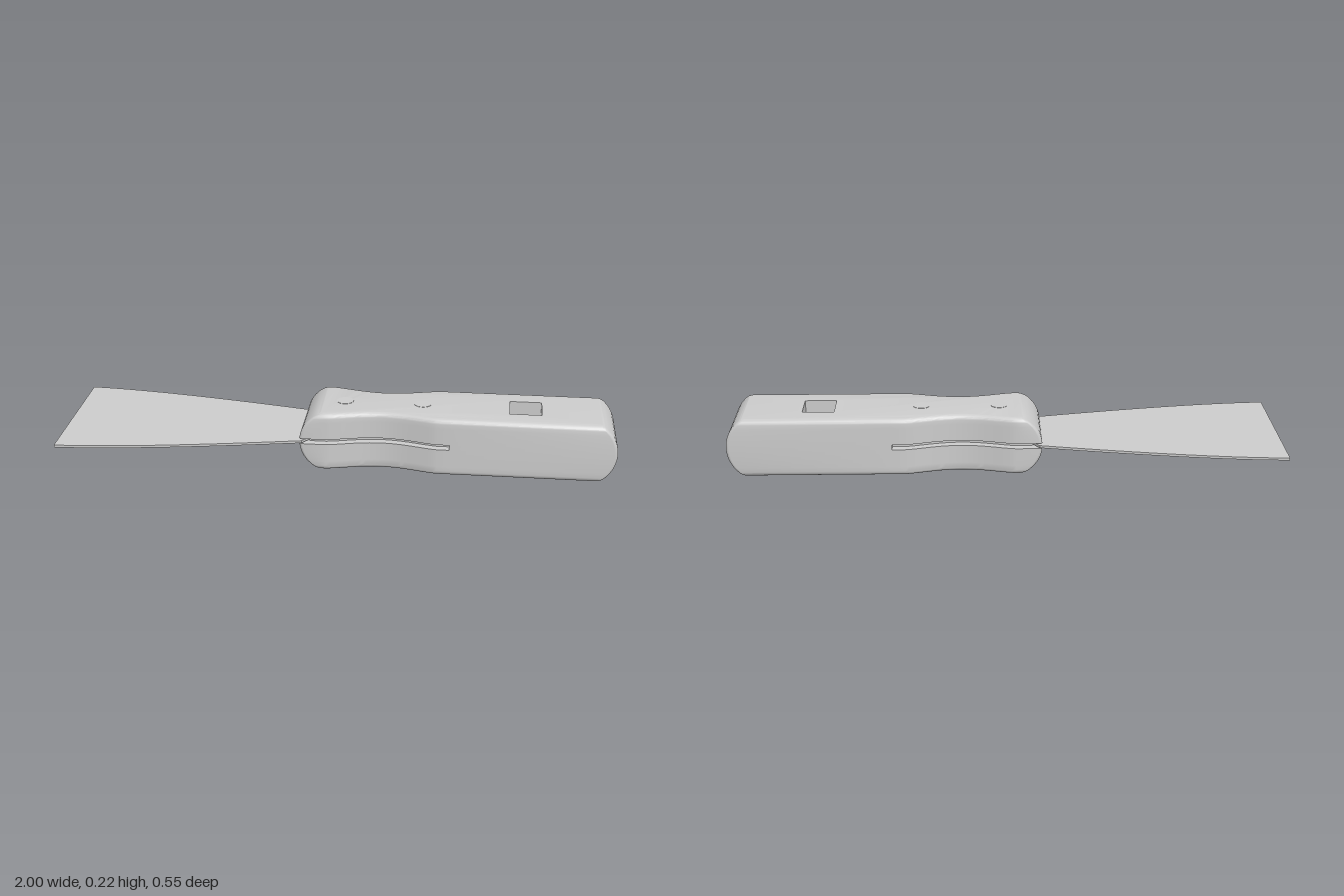
import * as THREE from 'three';
import { mergeGeometries, toCreasedNormals } from 'three/addons/utils/BufferGeometryUtils.js';

const H = 0.217, MID = H / 2;            // handle thickness
const X0 = -0.135, X1 = 1;               // handle ends
const SLOT = { lo: 0.101, hi: 0.12, end: 0.405, depth: 0.03 };
const HOLE = { x: 0.672, half: 0.0575 };
const EDGE = 0.018, CORNER = 0.012;      // fillet radii

// half width of the handle, with the finger waist
function halfWidth(x) {
  const t = (x + 0.04) / 0.4;
  return t <= 0 || t >= 1 ? 0.14 : 0.14 - 0.037 * Math.pow(Math.sin(Math.PI * t), 1.3);
}

// how far an end arc of the given radius is set back at height y
const arcInset = (y, r) => r - Math.sqrt(r * r - (y - MID) ** 2);

// closed handle outline at one level, counterclockwise seen from above
function outline({ y, inset, slot }) {
  const side = [];
  const add = (x, z, inSlot) => side.push([x, z - inset - (inSlot ? SLOT.depth : 0)]);
  const corner = (k) => {
    const t = (k / 4) * Math.PI / 2;
    return [CORNER * (1 - Math.cos(t)), CORNER * (1 - Math.sin(t))];
  };
  const left = X0 + arcInset(y, 0.115) + (slot ? SLOT.depth : 0);
  const right = X1 - arcInset(y, 0.128);
  for (let k = 0; k <= 4; k++) {
    const [dx, dz] = corner(k);
    add(left + dx, 0.14 - dz, slot);
  }
  for (let k = 0; k <= 28; k++) {
    const x = -0.04 + 0.4 * k / 28;
    add(x, halfWidth(x), slot);
  }
  add(SLOT.end, 0.14, slot);
  add(SLOT.end + 0.0005, 0.14, false);
  for (let k = 4; k >= 0; k--) {
    const [dx, dz] = corner(k);
    add(right - dx, 0.14 - dz, false);
  }
  return [...side, ...side.slice().reverse().map(([x, z]) => [x, -z])];
}

function handleGeometry() {
  // levels from bottom to top: fillet, wall, slot, wall, fillet
  const levels = [], top = [];
  for (let k = 0; k <= 5; k++) {
    const t = (k / 5) * Math.PI / 2;
    const y = EDGE * (1 - Math.cos(t)), inset = EDGE * (1 - Math.sin(t));
    levels.push({ y, inset });
    top.unshift({ y: H - y, inset });
  }
  for (let k = 1; k <= 5; k++) {
    const f = k / 5;
    levels.push({ y: EDGE + (SLOT.lo - EDGE) * f, inset: 0 });
    top.unshift({ y: H - EDGE + (SLOT.hi - H + EDGE) * f, inset: 0 });
  }
  levels.push({ y: SLOT.lo, inset: 0, slot: true }, { y: SLOT.hi, inset: 0, slot: true }, ...top);

  const rings = levels.map(outline), n = rings[0].length;
  const pos = [], idx = [];
  rings.forEach((ring, j) => ring.forEach(([x, z]) => pos.push(x, levels[j].y, z)));
  for (let j = 0; j < rings.length - 1; j++) {
    for (let i = 0; i < n; i++) {
      const a = j * n + i, b = j * n + (i + 1) % n;
      idx.push(a, b, b + n, a, b + n, a + n);
    }
  }
  const wall = new THREE.BufferGeometry();
  wall.setAttribute('position', new THREE.Float32BufferAttribute(pos, 3));
  wall.setIndex(idx);

  // flat faces pierced by the square hole
  const face = new THREE.Shape(rings[0].map(([x, z]) => new THREE.Vector2(x, z)));
  const { x, half } = HOLE;
  face.holes.push(new THREE.Path([[-1, -1], [-1, 1], [1, 1], [1, -1]]
    .map(([u, v]) => new THREE.Vector2(x + u * half, v * half))));
  const cap = (angle, y) => new THREE.ShapeGeometry(face).rotateX(angle).translate(0, y, 0);
  const parts = [wall, cap(-Math.PI / 2, H), cap(Math.PI / 2, 0)].map((g) => {
    const flat = g.toNonIndexed();
    flat.deleteAttribute('uv');
    flat.deleteAttribute('normal');
    return flat;
  });
  return toCreasedNormals(mergeGeometries(parts), 0.6);
}

// thin flared blade with a tang running into the handle
function bladeGeometry() {
  const s = new THREE.Shape();
  s.moveTo(-1, -0.275);
  s.quadraticCurveTo(-0.72, -0.268, -0.125, -0.142);
  s.lineTo(-0.09, -0.09);
  s.lineTo(0.16, -0.06);
  s.lineTo(0.4, -0.06);
  s.lineTo(0.4, 0.06);
  s.lineTo(0.16, 0.06);
  s.lineTo(-0.09, 0.09);
  s.lineTo(-0.125, 0.142);
  s.quadraticCurveTo(-0.72, 0.268, -1, 0.275);
  const g = new THREE.ExtrudeGeometry(s, { depth: 0.009, bevelEnabled: false, curveSegments: 20 });
  return g.rotateX(-Math.PI / 2).translate(0, 0.1045, 0);
}

export function createModel() {
  const group = new THREE.Group();
  const material = new THREE.MeshStandardMaterial({ color: 0xcccccc });
  const add = (name, geometry, mat = material) => {
    const mesh = new THREE.Mesh(geometry, mat);
    mesh.name = name;
    group.add(mesh);
    return mesh;
  };

  add('handle', handleGeometry());
  add('blade', bladeGeometry());

  // walls of the hanging hole
  const holeMaterial = new THREE.MeshStandardMaterial({ color: 0xcccccc, flatShading: true, side: THREE.DoubleSide });
  const r = HOLE.half * Math.SQRT2;
  add('hangingHole', new THREE.CylinderGeometry(r, r, H, 4, 1, true, Math.PI / 4), holeMaterial)
    .position.set(HOLE.x, MID, 0);

  // rivets through both faces
  for (const x of [0.018, 0.301]) {
    add('rivet', new THREE.CylinderGeometry(0.031, 0.031, H + 0.002, 32)).position.set(x, MID, 0);
  }
  return group;
}
